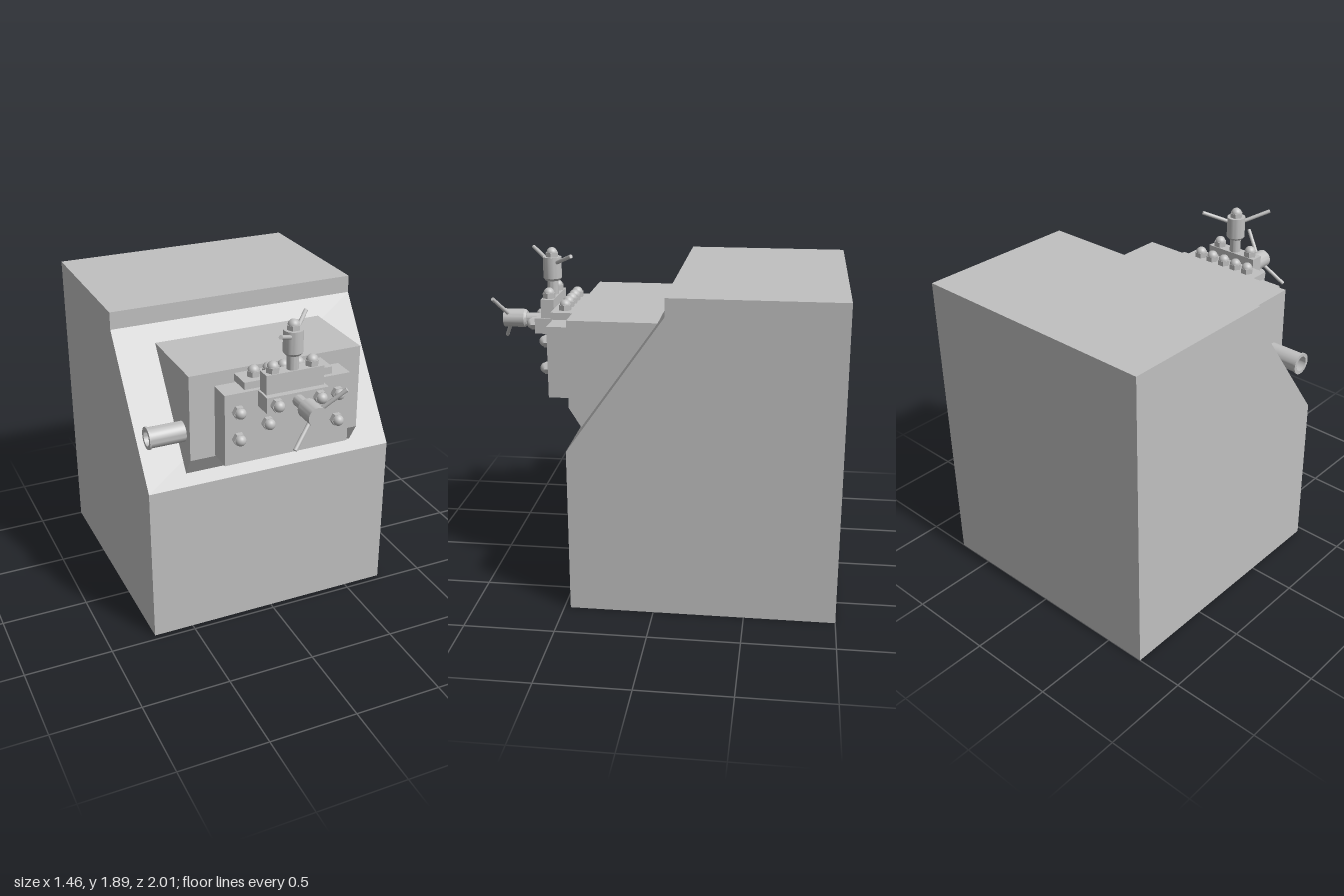
import * as THREE from 'three';
import { toCreasedNormals } from 'three/addons/utils/BufferGeometryUtils.js';

const steel = new THREE.MeshStandardMaterial({ color: 0xc0c0c0 });
steel.name = 'greySteel';

export function createModel() {
  const model = new THREE.Group();
  model.name = 'machineUnit';

  function add(name, geometry, parent = model) {
    const mesh = new THREE.Mesh(geometry, steel);
    mesh.name = name;
    parent.add(mesh);
    return mesh;
  }

  // Box given by its limits on each axis
  function box(name, x, y, z) {
    const mesh = add(name, new THREE.BoxGeometry(x[1] - x[0], y[1] - y[0], z[1] - z[0]));
    mesh.position.set((x[0] + x[1]) / 2, (y[0] + y[1]) / 2, (z[0] + z[1]) / 2);
    return mesh;
  }

  // Side profile of [z, y] points swept across x
  function sideProfile(name, points, halfWidth) {
    const shape = new THREE.Shape(points.map(([z, y]) => new THREE.Vector2(-z, y)));
    const geometry = new THREE.ExtrudeGeometry(shape, { depth: halfWidth * 2, bevelEnabled: false });
    geometry.translate(0, 0, -halfWidth).rotateY(Math.PI / 2);
    return add(name, geometry);
  }

  function lathe(name, points, parent, segments = 32) {
    const profile = points.map(([r, y]) => new THREE.Vector2(r, y));
    return add(name, toCreasedNormals(new THREE.LatheGeometry(profile, segments), 0.6), parent);
  }

  // Hexagonal nut with a domed cap, standing along its own y axis
  function nut(x, y, z, facesFront = false) {
    const group = new THREE.Group();
    group.name = 'domedNut';
    const hex = new THREE.CylinderGeometry(0.037, 0.037, 0.03, 6);
    hex.rotateY(Math.PI / 6).translate(0, 0.015, 0);
    add('nutHex', toCreasedNormals(hex, 0.5), group);
    const dome = new THREE.SphereGeometry(0.031, 20, 8, 0, Math.PI * 2, 0, Math.PI / 2);
    add('nutDome', dome.translate(0, 0.028, 0), group);
    group.position.set(x, y, z);
    if (facesFront) group.rotation.x = Math.PI / 2;
    model.add(group);
  }

  // Hand screw: stem, hub and two raised arms on a diagonal
  function handScrew(name, hubStart, hubEnd, armStart, armEnd) {
    const group = new THREE.Group();
    group.name = name;
    lathe('screwStem', [[0, 0], [0.032, 0], [0.032, hubStart + 0.01], [0, hubStart + 0.01]], group);
    lathe('screwHub', [[0, hubStart], [0.042, hubStart], [0.053, hubStart + 0.014],
      [0.053, hubEnd], [0, hubEnd]], group);
    for (const side of [-1, 1]) {
      const start = new THREE.Vector3(side * 0.02, armStart, -side * 0.02);
      const end = new THREE.Vector3(side * 0.14, armEnd, -side * 0.14);
      const length = start.distanceTo(end);
      const arm = add('screwArm', new THREE.CylinderGeometry(0.011, 0.011, length, 16), group);
      arm.position.copy(start).lerp(end, 0.5);
      arm.quaternion.setFromUnitVectors(new THREE.Vector3(0, 1, 0), end.sub(start).normalize());
    }
    model.add(group);
    return group;
  }

  // Cabinet with sloping front, and the head set into the slope
  sideProfile('cabinet', [[0.465, 0], [-1, 0], [-1, 1.78], [-0.065, 1.78],
    [-0.065, 1.68], [0.465, 0.93]], 0.732);
  sideProfile('headBlock', [[0.425, 0.99], [0, 1.59], [0.493, 1.59], [0.493, 1.1]], 0.502);

  // Clamping plates and slide blocks
  box('frontPlate', [-0.363, 0.363], [1.11, 1.517], [0.502, 0.635]);
  box('topPlate', [-0.253, 0.253], [1.53, 1.57], [0.502, 0.635]);
  box('frontSlideBlock', [-0.177, 0.177], [1.427, 1.515], [0.635, 0.745]);
  box('upperSlideBlock', [-0.165, 0.165], [1.515, 1.622], [0.635, 0.71]);

  // Nuts on the plates and blocks
  for (const side of [-1, 1]) {
    nut(side * 0.287, 1.415, 0.635, true);
    nut(side * 0.287, 1.26, 0.635, true);
    nut(side * 0.12, 1.32, 0.635, true);
    nut(side * 0.122, 1.472, 0.745, true);
    nut(side * 0.112, 1.622, 0.672);
  }
  for (let i = -2; i <= 2; i++) nut(i * 0.086, 1.57, 0.567);

  // Vertical and horizontal hand screws
  const upright = handScrew('uprightHandScrew', 0.08, 0.215, 0.18, 0.245);
  upright.position.set(0, 1.622, 0.673);
  nut(0, 1.832, 0.673);
  const forward = handScrew('forwardHandScrew', 0.085, 0.22, 0.185, 0.25);
  forward.position.set(0, 1.472, 0.745);
  forward.rotation.x = Math.PI / 2;

  // Hollow side pipe with a thin rim
  const pipe = lathe('sidePipe', [[0, 0], [0.057, 0], [0.057, 0.196], [0.063, 0.196],
    [0.063, 0.207], [0.043, 0.207], [0.043, 0.01], [0, 0.01]], model, 40);
  pipe.rotation.z = Math.PI / 2;
  pipe.position.set(-0.502, 1.232, 0.392);

  return model;
}
